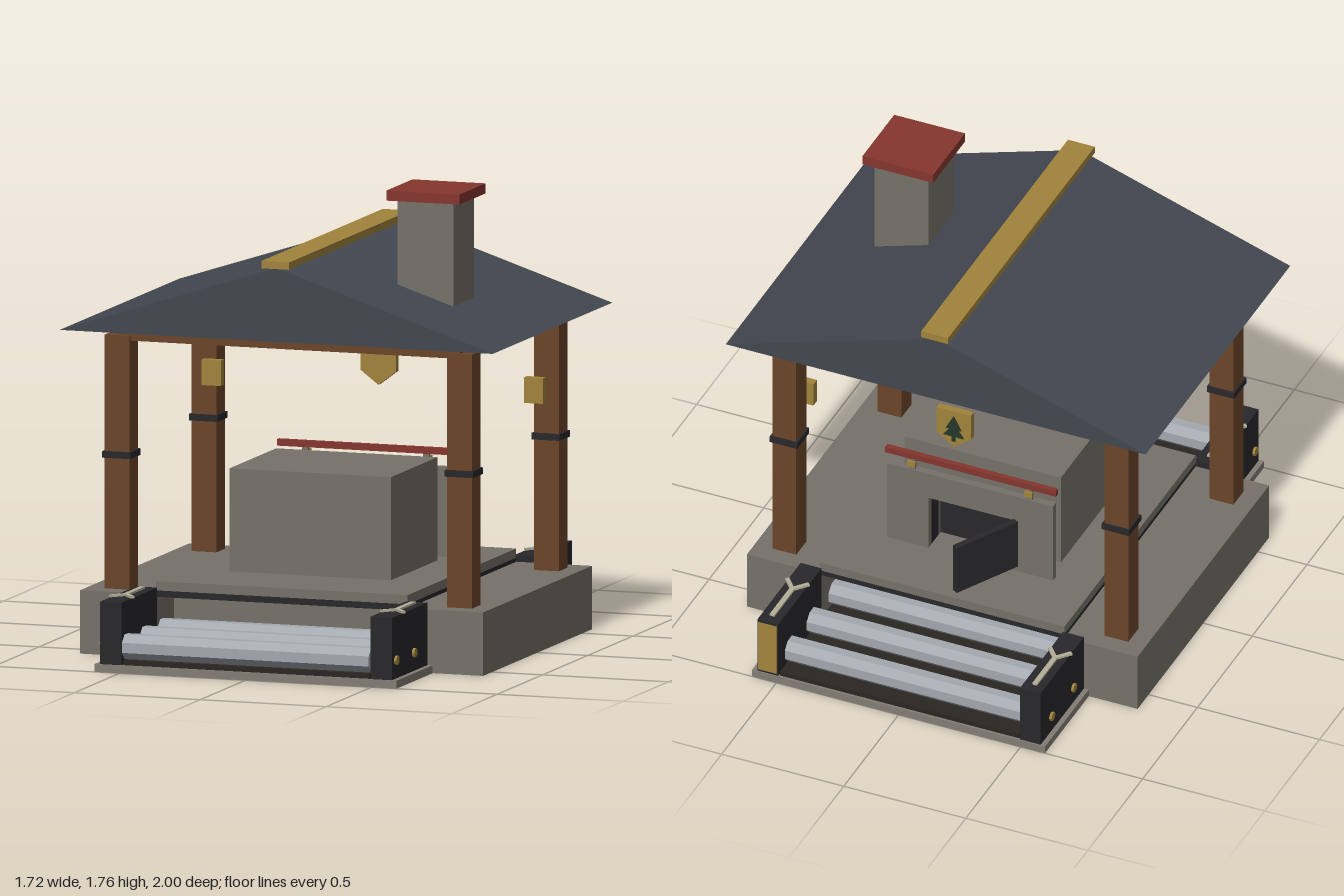
import * as THREE from 'three';

const mat = (color, extra = {}) => new THREE.MeshStandardMaterial({ color, flatShading: true, ...extra });
const M = {
  stone: mat(0x76726a), tray: mat(0x837d75), dark: mat(0x28282c), bed: mat(0x2a2622), wood: mat(0x6b4529),
  roof: mat(0x434750), gold: mat(0xa2843c), red: mat(0x86362f), steel: mat(0xa4a9b0), paint: mat(0xb5b09a),
  green: mat(0x26382a),
};

export function createModel() {
  const root = new THREE.Group();
  const add = (name, geo, material, parent = root) => {
    const m = new THREE.Mesh(geo, material);
    m.name = name;
    parent.add(m);
    return m;
  };
  // Box from its minimum and maximum corners
  const box = (name, material, x0, x1, y0, y1, z0, z1, parent = root) => {
    const m = add(name, new THREE.BoxGeometry(x1 - x0, y1 - y0, z1 - z0), material, parent);
    m.position.set((x0 + x1) / 2, (y0 + y1) / 2, (z0 + z1) / 2);
    return m;
  };
  // Outline in x and y, extruded from z0 to z1
  const slab = (name, material, pts, z0, z1) => {
    const shape = new THREE.Shape(pts.map(([x, y]) => new THREE.Vector2(x, y)));
    const geo = new THREE.ExtrudeGeometry(shape, { depth: z1 - z0, bevelEnabled: false });
    return add(name, geo.translate(0, 0, z0), material);
  };

  // Foundation with a lane for the conveyor running through it
  box('conveyorTray', M.tray, -0.6, 0.6, 0, 0.03, -1, 1);
  box('conveyorBed', M.bed, -0.49, 0.49, 0.03, 0.048, -0.99, 0.99);
  box('foundationCore', M.stone, -0.5, 0.5, 0.03, 0.235, -0.4, 0.4);
  box('laneCeiling', M.dark, -0.5, 0.5, 0.23, 0.255, -0.595, 0.595);
  box('plinth', M.stone, -0.5, 0.5, 0.255, 0.29, -0.6, 0.6);
  for (const s of [-1, 1]) {
    const [a, b] = s > 0 ? [0.5, 0.8] : [-0.8, -0.5];
    box('foundationSide', M.stone, a, b, 0, 0.24, -0.6, 0.6);
  }

  // Rollers, with their axle bolts on the outside of the side panels
  const rollerGeo = new THREE.CylinderGeometry(0.05, 0.05, 0.98, 8).rotateY(Math.PI / 8).rotateZ(Math.PI / 2);
  const boltGeo = new THREE.CylinderGeometry(0.018, 0.018, 0.012, 8).rotateZ(Math.PI / 2);
  for (const z of [0.955, 0.757, 0.56, -0.5, -0.7, -0.9]) {
    add('roller', rollerGeo, M.steel).position.set(0, 0.097, z);
    if (Math.abs(z) < 0.6) continue;
    for (const s of [-1, 1]) add('axleBolt', boltGeo, M.gold).position.set(s * 0.584, 0.1, z);
  }

  // Conveyor side panels with forked direction marks on top
  for (const s of [-1, 1]) for (const e of [-1, 1]) {
    const x0 = s > 0 ? 0.495 : -0.58, z0 = e > 0 ? 0.6 : -0.995;
    box('conveyorPanel', M.dark, x0, x0 + 0.085, 0.03, 0.266, z0, z0 + 0.395);
    const mark = new THREE.Group();
    mark.name = 'directionMark';
    mark.position.set(s * 0.538, 0.27, e > 0 ? 0.82 : -0.775);
    root.add(mark);
    box('markStem', M.paint, -0.01, 0.01, -0.005, 0.004, -0.18, 0.01, mark);
    for (const k of [-1, 1]) {
      const arm = box('markArm', M.paint, -0.008, 0.008, -0.005, 0.004, -0.035, 0.035, mark);
      arm.position.set(k * 0.022, 0, 0.03);
      arm.rotation.y = k * 0.7;
    }
  }
  box('endPlate', M.gold, 0.5, 0.575, 0.04, 0.255, -0.999, -0.994);

  // Oven body and the stepped surround of its mouth
  box('ovenBody', M.stone, -0.32, 0.32, 0.29, 0.68, -0.23, 0.285);
  const arch = (name, material, w, top, z0, z1) => slab(name, material, [
    [-w, 0.29], [-0.17, 0.29], [-0.17, 0.52], [0.17, 0.52], [0.17, 0.29], [w, 0.29], [w, top], [-w, top],
  ], z0, z1);
  arch('mouthNeck', M.stone, 0.26, 0.545, -0.256, -0.23);
  arch('mouthLiner', M.dark, 0.28, 0.565, -0.318, -0.256);
  arch('mouthFrame', M.stone, 0.34, 0.63, -0.347, -0.318);
  box('ovenMouth', M.dark, -0.17, 0.17, 0.29, 0.52, -0.236, -0.228);

  // Bar over the mouth on short supports
  box('mouthBar', M.red, -0.35, 0.35, 0.675, 0.7, -0.343, -0.322);
  for (const x of [-0.24, 0.24]) {
    box('barSupport', M.stone, x - 0.012, x + 0.012, 0.63, 0.677, -0.343, -0.327);
    box('barKnob', M.gold, x - 0.016, x + 0.016, 0.645, 0.668, -0.352, -0.34);
  }

  // Open oven door on its hinge
  const hinge = new THREE.Group();
  hinge.name = 'ovenDoor';
  hinge.position.set(-0.19, 0, -0.35);
  hinge.rotation.y = Math.atan2(0.25, 0.14);
  root.add(hinge);
  box('doorLeaf', M.dark, 0, 0.285, 0.32, 0.525, -0.013, 0.013, hinge);

  // Posts with bands, and the cross beams between them
  for (const z of [-0.48, 0.48]) {
    for (const x of [-0.68, 0.68]) {
      box('post', M.wood, x - 0.049, x + 0.049, 0.235, 1.2, z - 0.047, z + 0.047);
      box('postBand', M.dark, x - 0.056, x + 0.056, 0.735, 0.76, z - 0.056, z + 0.056);
    }
    box('crossBeam', M.wood, -0.68, 0.68, 1.18, 1.232, z - 0.035, z + 0.035);
  }
  for (const s of [-1, 1]) {
    const x = s * 0.64;
    box('postPlaque', M.gold, x - 0.038, x + 0.038, 0.875, 0.972, -0.435, -0.402);
  }

  // Roof, ridge and chimney
  slab('roof', M.roof, [[-0.86, 1.23], [0.86, 1.23], [0, 1.51]], -0.66, 0.66);
  box('ridgeCap', M.gold, -0.055, 0.055, 1.507, 1.535, -0.67, 0.67);
  box('chimney', M.stone, 0.33, 0.552, 1.2, 1.725, 0.01, 0.237);
  box('chimneyCap', M.red, 0.295, 0.585, 1.722, 1.76, -0.025, 0.265);

  // Hanging shield with a tree relief on the back side
  slab('shield', M.gold, [[-0.07, 0.955], [0, 0.902], [0.07, 0.955], [0.07, 1.065], [-0.07, 1.065]], -0.495, -0.467);
  slab('shieldTree', M.green, [
    [-0.008, 0.93], [0.008, 0.93], [0.008, 0.952], [0.042, 0.952], [0.018, 0.985], [0.032, 0.985],
    [0, 1.045], [-0.032, 0.985], [-0.018, 0.985], [-0.042, 0.952], [-0.008, 0.952],
  ], -0.5, -0.494);

  return root;
}
